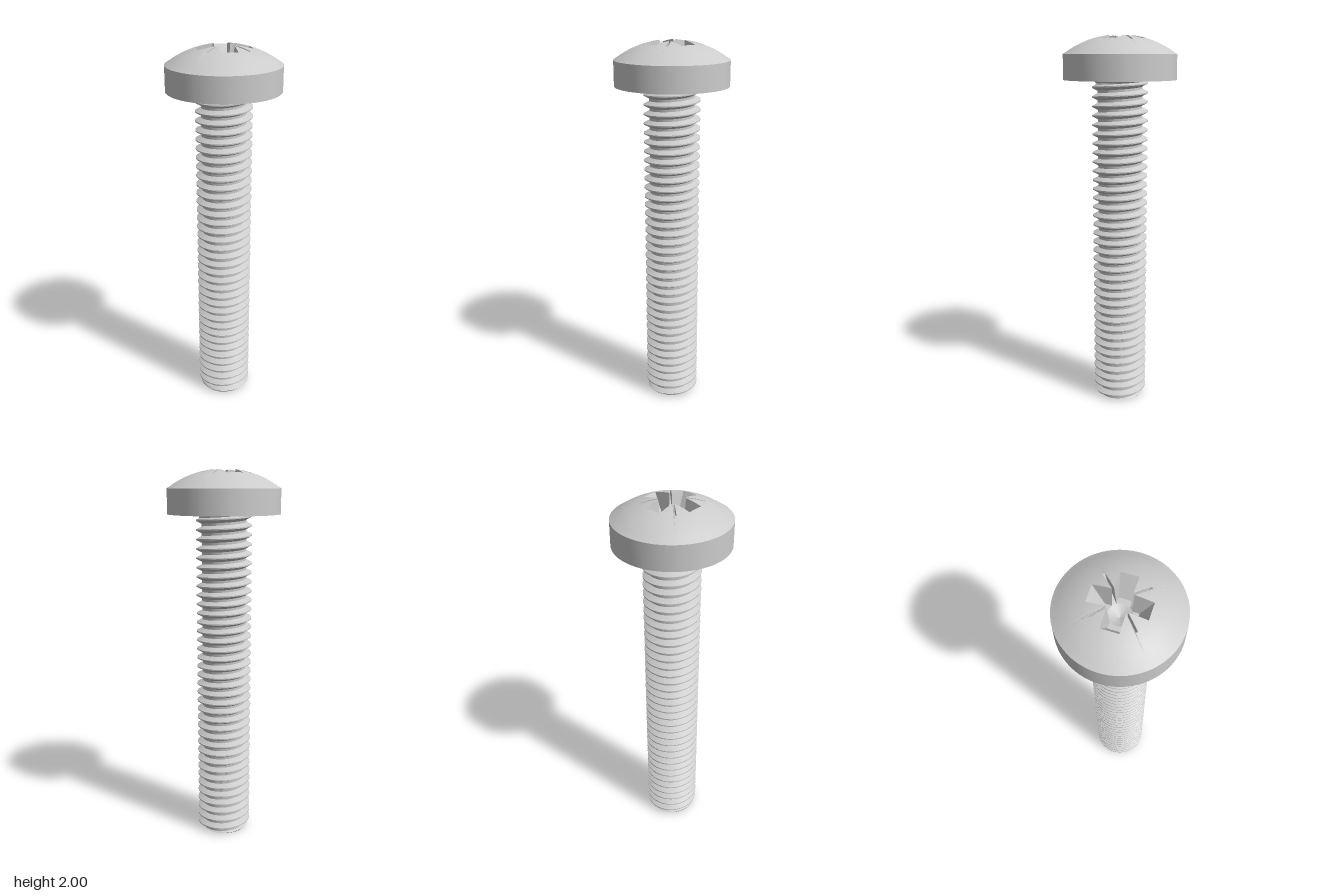
import * as THREE from 'three';
import { toCreasedNormals } from 'three/addons/utils/BufferGeometryUtils.js';

const material = new THREE.MeshStandardMaterial({ color: 0xcccccc });
const HEAD_R = 0.295, HEAD_Y = 1.775, RIM_Y = 1.905, DOME_R = 0.485, TOP_Y = 2.003;
const FLOOR_Y = 1.865, CONE_R = 0.055;
const PITCH = 0.049, MAJOR = 0.147, MINOR = 0.117;

// Skin a list of rings (each an open row of points), dropping collapsed triangles
function loft(rings, crease) {
  const pos = [];
  const tri = (a, b, c) => {
    const n = b.clone().sub(a).cross(c.clone().sub(a));
    if (n.length() > 1e-9) for (const p of [a, b, c]) pos.push(p.x, p.y, p.z);
  };
  for (let i = 0; i < rings.length - 1; i++) {
    for (let j = 0; j < rings[i].length - 1; j++) {
      const a = rings[i][j], b = rings[i][j + 1], c = rings[i + 1][j + 1], d = rings[i + 1][j];
      tri(a, d, c);
      tri(a, c, b);
    }
  }
  const g = new THREE.BufferGeometry();
  g.setAttribute('position', new THREE.Float32BufferAttribute(pos, 3));
  return toCreasedNormals(g, crease);
}

const domeY = (r) => TOP_Y - DOME_R + Math.sqrt(DOME_R * DOME_R - r * r);

// Quarter of the recess outline, turned four times; each corner is [x, z, y]
function recessLoop(corners) {
  const steps = [8, 8, 2, 3, 2, 8];
  const all = [];
  for (let q = 0; q < 4; q++) {
    const c = Math.cos(q * Math.PI / 2), s = Math.sin(q * Math.PI / 2);
    for (const [x, z, y] of corners) all.push(new THREE.Vector3(x * c - z * s, y, x * s + z * c));
  }
  const loop = [];
  all.forEach((p, i) => {
    const n = steps[i % steps.length];
    for (let k = 0; k < n; k++) loop.push(p.clone().lerp(all[(i + 1) % all.length], k / n));
  });
  loop.push(loop[0].clone());
  return loop;
}

function headGeometry() {
  // Cross arms with thin diagonal grooves between them: mouth and bottom
  const mouth = recessLoop([
    [0.137, -0.042, 0], [0.137, 0.042, 0], [0.049, 0.042, 0],
    [0.110, 0.103, 0], [0.103, 0.110, 0], [0.042, 0.049, 0],
  ]);
  mouth.forEach((p) => { p.y = domeY(Math.hypot(p.x, p.z)); });
  const bottom = recessLoop([
    [0.078, -0.031, FLOOR_Y], [0.078, 0.031, FLOOR_Y], [0.0455, 0.031, FLOOR_Y],
    [0.100, 0.094, 1.96], [0.094, 0.100, 1.96], [0.031, 0.0455, FLOOR_Y],
  ]);
  const circle = (r, y) => mouth.map((p) => {
    const t = Math.atan2(p.z, p.x);
    return new THREE.Vector3(r * Math.cos(t), y, r * Math.sin(t));
  });
  const rings = [circle(0.12, HEAD_Y), circle(HEAD_R, HEAD_Y), circle(HEAD_R, RIM_Y)];
  // Domed top, narrowing from the rim to the recess mouth
  const rows = 10;
  for (let k = 1; k < rows; k++) {
    rings.push(circle(HEAD_R, RIM_Y).map((p, j) => {
      const v = p.lerp(mouth[j], k / rows);
      v.y = domeY(Math.hypot(v.x, v.z));
      return v;
    }));
  }
  // Recess walls, floor and shallow centre cone
  const coneRing = bottom.map((p) => {
    const t = Math.atan2(p.z, p.x);
    return new THREE.Vector3(CONE_R * Math.cos(t), FLOOR_Y, CONE_R * Math.sin(t));
  });
  rings.push(mouth, bottom, coneRing, coneRing.map(() => new THREE.Vector3(0, FLOOR_Y - 0.025, 0)));
  return loft(rings, 0.35);
}

// Thread radius at a height and turn, with end chamfer and fillet under the head
function threadRadius(y, turn) {
  const u = y / PITCH + turn, f = u - Math.floor(u);
  let h = 0;
  if (f > 0.25) h = Math.min(1, (f - 0.25) / 0.3125, (1 - f) / 0.3125);
  let r = MINOR + (MAJOR - MINOR) * h;
  r = Math.min(r, 0.124 + y * 0.9);
  const gap = Math.max(0, 1 - (HEAD_Y - y) / 0.035);
  return Math.max(r, MINOR + 0.033 * gap * gap);
}

function shankGeometry() {
  const sides = 72, rings = [];
  const ring = (fn) => Array.from({ length: sides + 1 }, (_, j) => fn(j / sides));
  rings.push(ring(() => new THREE.Vector3(0, 0, 0)));
  // Rings climb along the helix so that crest and root edges stay crisp
  for (let k = 0; k <= Math.ceil(HEAD_Y / PITCH) + 1; k++) {
    for (const u of [0, 0.125, 0.25, 0.40625, 0.5625, 0.6875, 0.84375]) {
      rings.push(ring((turn) => {
        const y = THREE.MathUtils.clamp((k + u - turn) * PITCH, 0, HEAD_Y);
        const r = threadRadius(y, turn), t = turn * Math.PI * 2;
        return new THREE.Vector3(r * Math.cos(t), y, r * Math.sin(t));
      }));
    }
  }
  return loft(rings, 0.5);
}

export function createModel() {
  const group = new THREE.Group();
  group.name = 'machineScrew';
  const add = (name, geometry) => {
    const mesh = new THREE.Mesh(geometry, material);
    mesh.name = name;
    group.add(mesh);
  };
  add('head', headGeometry());
  add('threadedShank', shankGeometry());
  return group;
}
